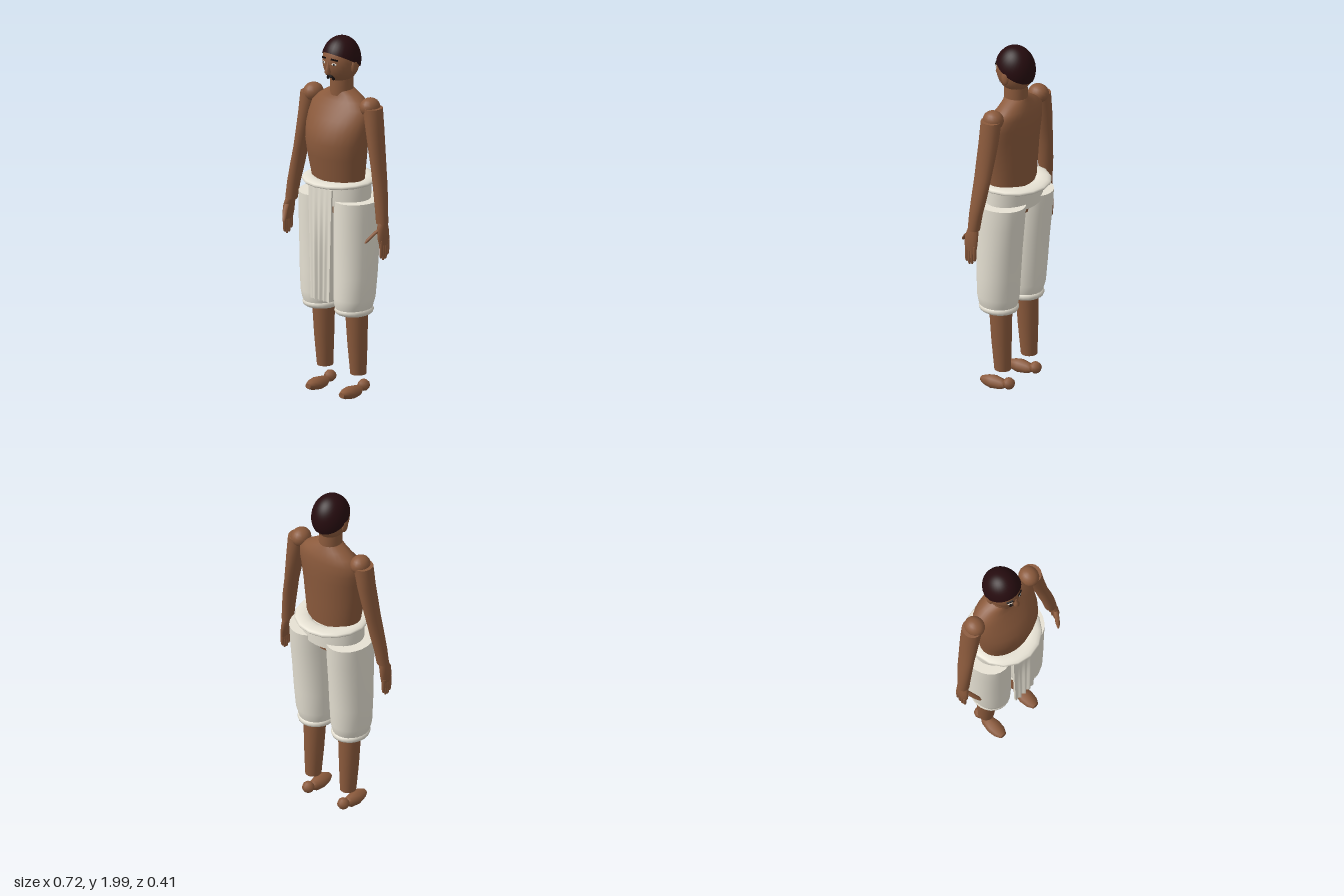
import * as THREE from 'three';

const mat = (name, color, side = THREE.FrontSide) => {
  const m = new THREE.MeshStandardMaterial({ color, side });
  m.name = name;
  return m;
};

// Closed solid through elliptical rings [y, cx, cz, rx, rz], listed from low to high
function loft(rings, sides = 20) {
  const pos = [], idx = [], n = sides;
  const addRing = ([y, cx, cz, rx, rz]) => {
    for (let j = 0; j < n; j++) {
      const a = (j / n) * Math.PI * 2;
      pos.push(cx + rx * Math.cos(a), y, cz + rz * Math.sin(a));
    }
  };
  rings.forEach(addRing);
  for (let i = 0; i < rings.length - 1; i++) {
    for (let j = 0; j < n; j++) {
      const a = i * n + j, b = i * n + (j + 1) % n;
      idx.push(a, a + n, b, b, a + n, b + n);
    }
  }
  // flat end caps with their own vertices
  [rings[0], rings[rings.length - 1]].forEach((r, top) => {
    const start = pos.length / 3;
    addRing(r);
    pos.push(r[1], r[0], r[2]);
    for (let j = 0; j < n; j++) {
      const a = start + j, b = start + (j + 1) % n;
      if (top) idx.push(start + n, b, a);
      else idx.push(start + n, a, b);
    }
  });
  const g = new THREE.BufferGeometry();
  g.setAttribute('position', new THREE.Float32BufferAttribute(pos, 3));
  g.setIndex(idx);
  g.computeVertexNormals();
  return g;
}

const ball = (rx, ry, rz, w = 20, h = 14) => new THREE.SphereGeometry(1, w, h).scale(rx, ry, rz);

export function createModel() {
  const skin = mat('skin', 0x8b5a3c);
  const cloth = mat('cloth', 0xe6e1d3, THREE.DoubleSide);
  const hairMat = mat('hair', 0x260c0f, THREE.DoubleSide);
  const dark = mat('dark', 0x140c0b);
  const white = mat('eyeWhite', 0xe8e2d8);

  const model = new THREE.Group();
  model.name = 'figure';
  const add = (name, geo, material, x = 0, y = 0, z = 0, parent = model) => {
    const m = new THREE.Mesh(geo, material);
    m.name = name;
    m.position.set(x, y, z);
    parent.add(m);
    return m;
  };

  // Torso: [y, half width, front z, back z]
  const torso = [
    [1.03, 0.09, 0.07, -0.08], [1.18, 0.16, 0.12, -0.1], [1.24, 0.163, 0.13, -0.105],
    [1.35, 0.18, 0.152, -0.11], [1.43, 0.19, 0.162, -0.113], [1.5, 0.197, 0.147, -0.117],
    [1.56, 0.2, 0.115, -0.118], [1.62, 0.193, 0.08, -0.115], [1.655, 0.155, 0.058, -0.105],
    [1.685, 0.11, 0.045, -0.092], [1.71, 0.062, 0.043, -0.08],
  ].map(([y, rx, f, b]) => [y, 0, (f + b) / 2, rx, (f - b) / 2]);
  add('torso', loft(torso, 28), skin);
  add('neck', loft([[1.68, 0, -0.016, 0.064, 0.066], [1.8, 0, -0.014, 0.06, 0.064]]), skin);

  // Head
  const head = new THREE.Group();
  head.name = 'head';
  model.add(head);
  const HY = 1.868, HZ = -0.012;
  const faceZ = (x, y) => HZ + 0.106 * Math.sqrt(1 - (x / 0.096) ** 2 - ((y - HY) / 0.125) ** 2);
  add('skull', ball(0.096, 0.125, 0.106, 28, 20), skin, 0, HY, HZ, head);
  const cap = new THREE.SphereGeometry(1, 32, 14, 0, Math.PI * 2, 0, Math.PI / 2);
  cap.rotateX(-0.45).scale(0.102, 0.132, 0.113);
  add('hair', cap, hairMat, 0, HY, HZ, head);
  add('nose', loft([[1.808, 0, 0.094, 0.01, 0.012], [1.82, 0, 0.096, 0.018, 0.019],
    [1.845, 0, 0.093, 0.01, 0.014], [1.88, 0, 0.088, 0.007, 0.008]], 10), skin, 0, 0, 0, head);
  const moustache = add('moustache', new THREE.TorusGeometry(0.02, 0.0075, 8, 16, Math.PI), dark,
    0, 1.778, faceZ(0, 1.788), head);
  moustache.rotation.x = 0.45;
  add('lips', ball(0.013, 0.006, 0.006, 10, 6), skin, 0, 1.776, faceZ(0, 1.776), head);
  for (const s of [1, -1]) {
    add('ear', ball(0.012, 0.038, 0.023, 12, 10), skin, s * 0.094, 1.846, -0.013, head);
    const eye = add('eye', ball(0.015, 0.007, 0.004, 12, 8), white, s * 0.036, 1.868, faceZ(0.036, 1.868), head);
    eye.rotation.y = s * 0.38;
    add('pupil', ball(0.006, 0.006, 0.004, 10, 8), dark, s * 0.036, 1.868, faceZ(0.036, 1.868) + 0.002, head);
    const brow = add('eyebrow', new THREE.BoxGeometry(0.038, 0.008, 0.008), dark,
      s * 0.037, 1.893, faceZ(0.037, 1.893) + 0.001, head);
    brow.rotation.set(0, s * 0.42, -s * 0.15);
  }

  for (const s of [1, -1]) {
    // Arm with a ball shoulder
    const arm = new THREE.Group();
    arm.name = s > 0 ? 'leftArm' : 'rightArm';
    model.add(arm);
    const limb = (name, rings, sides) =>
      add(name, loft(rings.map(([y, x, z, rx, rz]) => [y, s * x, z, rx, rz]), sides), skin, 0, 0, 0, arm);
    add('shoulder', ball(0.053, 0.052, 0.059, 18, 12), skin, s * 0.203, 1.643, -0.015, arm);
    limb('armTube', [
      [1.03, 0.325, 0.024, 0.033, 0.033], [1.12, 0.314, 0.018, 0.034, 0.038],
      [1.22, 0.297, 0.008, 0.035, 0.045], [1.32, 0.279, 0.0, 0.033, 0.05],
      [1.42, 0.26, -0.006, 0.039, 0.054], [1.52, 0.242, -0.012, 0.045, 0.057],
      [1.645, 0.222, -0.015, 0.053, 0.057],
    ], 18);
    // Hand
    limb('palm', [
      [0.915, 0.343, 0.03, 0.013, 0.036], [0.95, 0.341, 0.031, 0.019, 0.042],
      [1.0, 0.335, 0.03, 0.022, 0.04], [1.04, 0.328, 0.025, 0.022, 0.03],
    ], 12);
    [0.055, 0.038, 0.021, 0.004].forEach((z, i) => {
      const tip = [0.845, 0.832, 0.836, 0.855][i];
      limb('finger', [[tip, 0.344, z, 0.005, 0.005], [tip + 0.012, 0.345, z, 0.009, 0.009],
        [0.94, 0.346, z, 0.011, 0.011]], 8);
    });
    limb('thumb', [[0.932, 0.291, 0.118, 0.006, 0.006], [0.95, 0.3, 0.106, 0.012, 0.012],
      [0.98, 0.317, 0.08, 0.013, 0.014], [1.005, 0.333, 0.05, 0.013, 0.016]], 8);

    // Trouser leg with a rolled cuff
    const leg = new THREE.Group();
    leg.name = s > 0 ? 'leftLeg' : 'rightLeg';
    model.add(leg);
    const trouser = [
      [0.5, 0.114, 0.016, 0.092, 0.1], [0.53, 0.115, 0.016, 0.1, 0.11],
      [0.57, 0.118, 0.014, 0.108, 0.117], [0.7, 0.121, 0.009, 0.115, 0.121],
      [0.85, 0.123, 0.004, 0.117, 0.128], [1.0, 0.125, -0.002, 0.119, 0.138],
      [1.12, 0.125, -0.006, 0.119, 0.145],
    ].map(([y, x, z, rx, rz]) => [y, s * x, z, rx, rz]);
    add('trouserLeg', loft(trouser, 24), cloth, 0, 0, 0, leg);
    const cuff = new THREE.TorusGeometry(0.08, 0.022, 10, 24).rotateX(Math.PI / 2).scale(1, 1, 1.09);
    add('cuff', cuff, cloth, s * 0.114, 0.502, 0.013, leg);

    // Shin, ankle and foot
    add('shin', loft([[0.135, s * 0.119, -0.015, 0.043, 0.045], [0.3, s * 0.119, -0.008, 0.053, 0.055],
      [0.55, s * 0.118, 0, 0.064, 0.065]]), skin, 0, 0, 0, leg);
    add('ankle', ball(0.034, 0.033, 0.034, 8, 6), skin, s * 0.12, 0.06, -0.057, leg);
    const foot = loft([[-0.035, 0, 0, 0.016, 0.014], [-0.01, 0, 0, 0.032, 0.03],
      [0.045, 0, 0, 0.042, 0.037], [0.09, 0, 0, 0.036, 0.028], [0.12, 0, 0, 0.02, 0.015]], 8);
    foot.rotateX(Math.PI / 2);
    add('foot', foot, skin, s * 0.12, 0.042, 0, leg);
  }

  // Waistband and the flat rolled sash above it
  add('waistband', loft([[1.09, 0, 0, 0.188, 0.138], [1.21, 0, 0, 0.19, 0.14]], 28), cloth);
  const sash = new THREE.TorusGeometry(0.16, 0.046, 12, 16).rotateX(Math.PI / 2).scale(0.99, 0.36, 1);
  add('sash', sash, cloth, 0, 1.21, 0);

  // Front panel, tapered, with pleats deepening towards the hem
  const panel = new THREE.BoxGeometry(1, 0.63, 0.012, 24, 8, 1);
  const p = panel.attributes.position;
  for (let i = 0; i < p.count; i++) {
    const t = 0.5 - p.getY(i) / 0.63, u = p.getX(i);
    const mask = Math.max(0, 1 - (Math.abs(u) / 0.42) ** 4);
    const groove = 0.009 * Math.min(1, t * 1.8) * mask * Math.cos(u * Math.PI * 8);
    p.setX(i, u * (0.166 - 0.034 * t));
    p.setZ(i, p.getZ(i) + groove);
  }
  panel.computeVertexNormals();
  add('pleatedPanel', panel, cloth, 0, 0.875, 0.153);

  return model;
}
